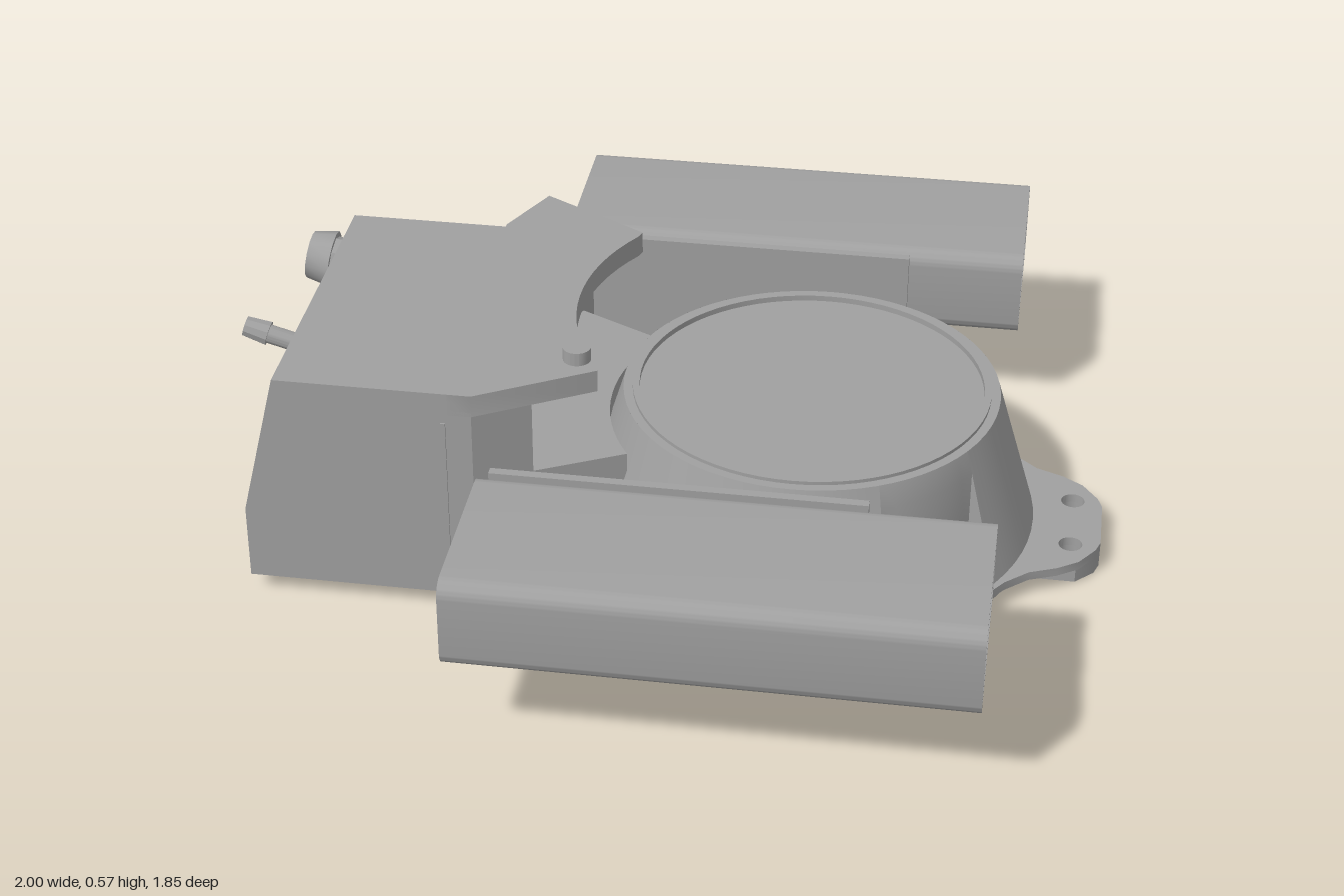
import * as THREE from 'three';
import { toCreasedNormals } from 'three/addons/utils/BufferGeometryUtils.js';

const CX = 0.35; // axis of the round body
const rad = THREE.MathUtils.degToRad;

export function createModel() {
  const model = new THREE.Group();
  const grey = new THREE.MeshStandardMaterial({ color: 0xa0a0a0, side: THREE.DoubleSide });
  grey.name = 'grey metal';

  const add = (name, geo, parent = model) => {
    const mesh = new THREE.Mesh(toCreasedNormals(geo, 0.55), grey);
    mesh.name = name;
    parent.add(mesh);
    return mesh;
  };
  const box = (name, x0, x1, y0, y1, z0, z1) =>
    add(name, new THREE.BoxGeometry(x1 - x0, y1 - y0, z1 - z0)
      .translate((x0 + x1) / 2, (y0 + y1) / 2, (z0 + z1) / 2));
  // flat slab from a plan outline of [x, z] points, with round holes [x, z, r]
  const slab = (name, pts, y0, y1, holes = [], parent = model) => {
    const shape = new THREE.Shape(pts.map(([x, z]) => new THREE.Vector2(x, -z)));
    for (const [x, z, r] of holes) {
      shape.holes.push(new THREE.Path().absarc(x, -z, r, 0, Math.PI * 2, true));
    }
    const geo = new THREE.ExtrudeGeometry(shape, { depth: y1 - y0, bevelEnabled: false, curveSegments: 10 });
    return add(name, geo.rotateX(-Math.PI / 2).translate(0, y0, 0), parent);
  };
  // cylinder between two points
  const rod = (name, a, b, r, sides = 20, r2 = r) => {
    const p = new THREE.Vector3(...a), q = new THREE.Vector3(...b);
    const mesh = add(name, new THREE.CylinderGeometry(r2, r, p.distanceTo(q), sides));
    mesh.position.copy(p).add(q).multiplyScalar(0.5);
    mesh.quaternion.setFromUnitVectors(new THREE.Vector3(0, 1, 0), q.sub(p).normalize());
    return mesh;
  };
  const lathe = (name, pts, from = 0, to = 360) =>
    add(name, new THREE.LatheGeometry(pts.map(([r, y]) => new THREE.Vector2(r, y)),
      Math.max(4, Math.round((to - from) / 5)), rad(from), rad(to - from)).translate(CX, 0, 0));
  // concave arc around the round body, from +z to -z, ending at half width h
  const arc = (r, h) => {
    const a = Math.asin(h / r), out = [];
    for (let i = 0; i <= 16; i++) {
      const t = a - (2 * a * i) / 16;
      out.push([CX - r * Math.cos(t), r * Math.sin(t)]);
    }
    return out;
  };

  // Conical body with recessed pockets
  const cone = [[0.5, 0.06], [0.41, 0.36]];
  const pocket = [[0.5, 0.06], [0.488, 0.1], [0.425, 0.1], [0.425, 0.31], [0.41, 0.36]];
  const cuts = [26, 59, 121, 154, 386];
  cuts.slice(0, 4).forEach((from, i) => {
    const recessed = i % 2 === 0;
    lathe(recessed ? 'conePocket' : 'coneWall', recessed ? pocket : cone, from, cuts[i + 1]);
    const cheek = new THREE.Shape([[0.488, 0.1], [0.425, 0.31], [0.425, 0.1]]
      .map(([r, y]) => new THREE.Vector2(r, y)));
    add('pocketCheek', new THREE.ShapeGeometry(cheek).rotateY(rad(from - 90)).translate(CX, 0, 0));
  });
  lathe('topRim', [[0.41, 0.36], [0.39, 0.36], [0.39, 0.368], [0.375, 0.368], [0.375, 0.355], [0, 0.355]]);
  lathe('baseFlange', [[0, 0.02], [0.5, 0.02], [0.5, 0.04], [0.51, 0.04], [0.51, 0.06], [0.48, 0.06]]);

  // Three mounting ears spaced evenly around the flange
  const mirror = (half) => [...half, ...half.slice().reverse().map(([x, z]) => [x, -z])];
  const earTop = mirror([[0.4, 0.32], [0.45, 0.25], [0.5, 0.205], [0.56, 0.18], [0.605, 0.15], [0.64, 0.1], [0.65, 0.07]]);
  const earPad = mirror([[0.48, 0.14], [0.6, 0.14], [0.64, 0.1], [0.65, 0.07]]);
  for (let i = 0; i < 3; i++) {
    const ear = new THREE.Group();
    ear.name = 'mountingEar';
    ear.position.x = CX;
    ear.rotation.y = (i * Math.PI * 2) / 3;
    const holes = [[0.585, 0.085, 0.026], [0.585, -0.085, 0.026]];
    if (i) holes.push([0.585, 0, 0.022]);
    slab('earFlange', earTop, 0.04, 0.06, holes, ear);
    slab('earPad', earPad, 0, 0.04, holes, ear);
    model.add(ear);
  }

  // Floor plate joining the round body to the housing
  slab('floorPlate', [[-0.32, -0.44], [-0.25, -0.51], [0.35, -0.51], [0.35, 0.51], [-0.25, 0.51], [-0.32, 0.44]],
    0.04, 0.06, [[-0.016, 0.465, 0.026], [-0.016, -0.465, 0.026]]);

  // Drive housing with sloped end
  const side = new THREE.Shape([[-0.81, 0.04], [-0.36, 0.04], [-0.36, 0.54], [-0.73, 0.54], [-0.81, 0.21]]
    .map(([x, y]) => new THREE.Vector2(x, y)));
  add('housing', new THREE.ExtrudeGeometry(side, { depth: 0.72, bevelEnabled: false }).translate(0, 0, -0.28));
  slab('housingNeck', [[-0.38, 0.44], [-0.31, 0.44], ...arc(0.66, 0.37), [-0.31, -0.44], [-0.38, -0.29]], 0.04, 0.5);
  slab('housingLid', [[-0.38, 0.44], [-0.31, 0.44], [-0.07, 0.3], ...arc(0.51, 0.28), [-0.07, -0.3],
    [-0.31, -0.44], [-0.38, -0.29]], 0.49, 0.54);
  slab('innerLedge', [...arc(0.68, 0.35), ...arc(0.44, 0.24).reverse()], 0.06, 0.3);
  box('connectorShelf', -0.81, -0.32, 0.04, 0.18, -0.45, -0.27);
  box('coverSeam', -0.375, -0.365, 0.1, 0.47, 0.44, 0.444);
  rod('lidBolt', [-0.12, 0.53, 0.26], [-0.12, 0.57, 0.26], 0.03);

  // Connector and cable fittings
  box('connectorPedestal', -0.7, -0.5, 0.18, 0.29, -0.42, -0.3);
  const plug = box('connectorBody', -0.14, 0.14, -0.06, 0.06, -0.055, 0.055);
  plug.position.set(-0.62, 0.34, -0.365);
  plug.rotation.z = rad(-10);
  rod('glandNut', [-0.76, 0.365, -0.365], [-0.81, 0.372, -0.365], 0.055, 8);
  rod('glandCap', [-0.81, 0.372, -0.365], [-0.865, 0.38, -0.365], 0.066, 12, 0.055);
  box('latch', -0.72, -0.48, 0.33, 0.36, -0.435, -0.42);
  box('cableBlock', -0.815, -0.73, 0.16, 0.28, -0.28, -0.17);
  rod('cablePipe', [-0.79, 0.205, -0.215], [-0.95, 0.25, -0.215], 0.022);
  rod('cableNut', [-0.935, 0.246, -0.215], [-0.99, 0.262, -0.215], 0.029, 10, 0.024);

  // Hollow rectangular side tubes, brackets and cross bolts
  const rounded = (target, w, h, r) => {
    const x = w / 2, y = h / 2;
    target.moveTo(-x + r, -y).lineTo(x - r, -y).absarc(x - r, -y + r, r, -Math.PI / 2, 0);
    target.absarc(x - r, y - r, r, 0, Math.PI / 2).absarc(-x + r, y - r, r, Math.PI / 2, Math.PI);
    target.absarc(-x + r, -y + r, r, Math.PI, Math.PI * 1.5);
    return target;
  };
  const section = rounded(new THREE.Shape(), 0.4, 0.2, 0.035);
  section.holes.push(rounded(new THREE.Path(), 0.368, 0.168, 0.02));
  for (const s of [1, -1]) {
    add('sideTube', new THREE.ExtrudeGeometry(section, { depth: 1.06, bevelEnabled: false, curveSegments: 6 })
      .rotateY(Math.PI / 2).translate(-0.28, 0.314, s * 0.725));
    box('tubeBracket', -0.26, 0.52, 0.08, 0.41, s * 0.51 - 0.01, s * 0.51 + 0.01);
    rod('longBolt', [-0.21, 0.155, s * 0.37], [-0.21, 0.155, s * 0.57], 0.033);
    rod('shortBolt', [0.39, 0.155, s * 0.43], [0.39, 0.155, s * 0.57], 0.033);
    box('bracketFoot', -0.17, -0.05, 0.06, 0.085, s * 0.48 - 0.03, s * 0.48 + 0.03);
  }
  return model;
}
